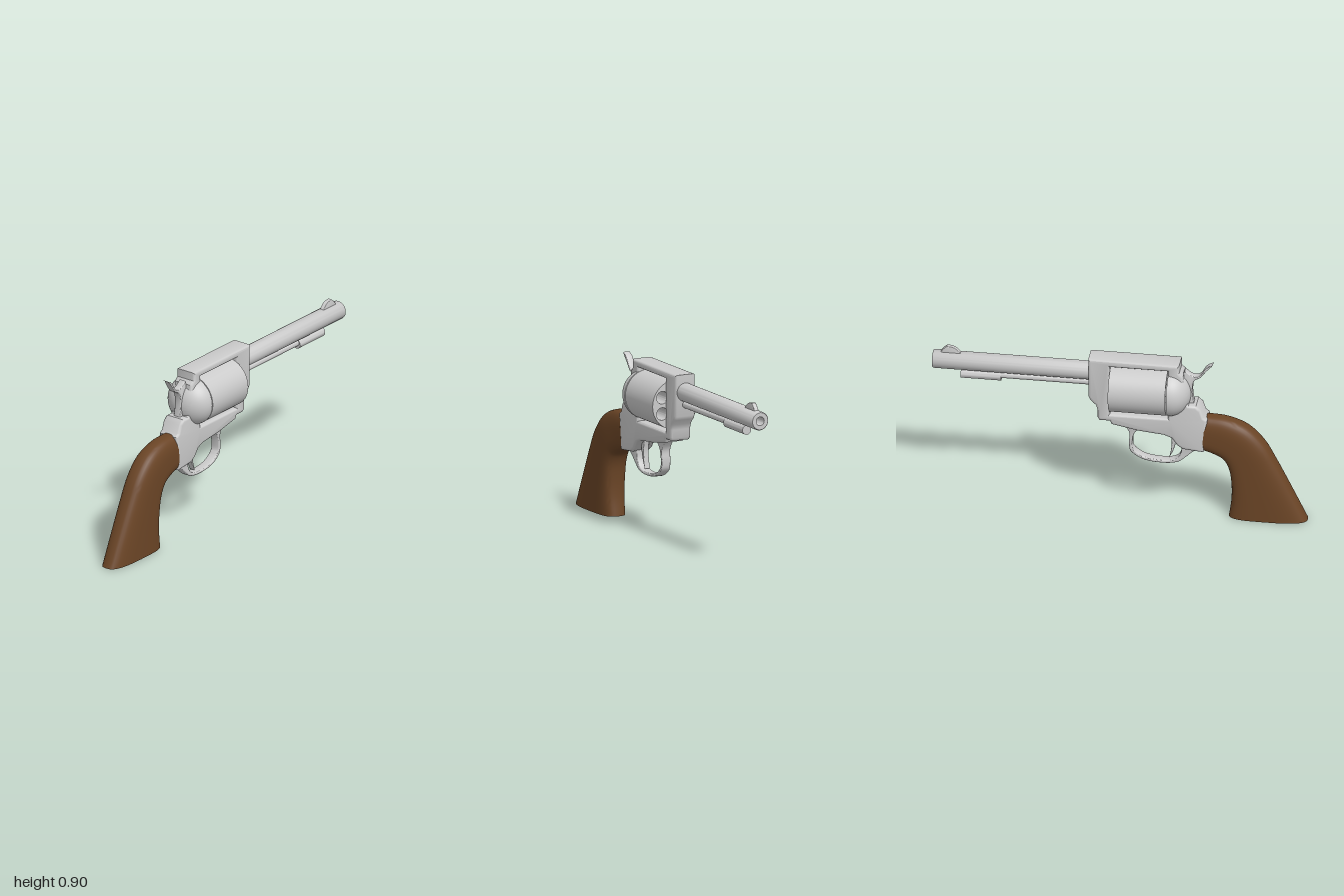
import * as THREE from 'three';
import { toCreasedNormals } from 'three/addons/utils/BufferGeometryUtils.js';

const steel = new THREE.MeshStandardMaterial({ color: 0xcccccc });
const wood = new THREE.MeshStandardMaterial({ color: 0x6b4526 });
const AXIS_Y = 0.722; // height of the cylinder axis

function part(group, name, geometry, material = steel, crease = 0.7) {
  const mesh = new THREE.Mesh(toCreasedNormals(geometry, crease), material);
  mesh.name = name;
  group.add(mesh);
  return mesh;
}

// side-profile points are [z, y]; shape x runs towards the muzzle
const toV2 = (pts) => pts.map(([z, y]) => new THREE.Vector2(-z, y));
const smooth = (pts, n) => new THREE.SplineCurve(toV2(pts)).getPoints(n);

// extrude a side profile across x, with rounded edges
function slab(points, halfWidth, bevel, holes = []) {
  const shape = new THREE.Shape(points);
  holes.forEach((h) => shape.holes.push(new THREE.Path(h)));
  const geo = new THREE.ExtrudeGeometry(shape, {
    depth: 2 * (halfWidth - bevel), bevelEnabled: bevel > 0, bevelThickness: bevel,
    bevelSize: bevel, bevelOffset: -bevel, bevelSegments: 3,
  });
  geo.translate(0, 0, bevel - halfWidth);
  return geo.rotateY(Math.PI / 2);
}

// turned part along z: points are [radius, z], from rear to muzzle
function turned(points, y, segments = 40) {
  const geo = new THREE.LatheGeometry(points.map(([r, z]) => new THREE.Vector2(r, -z)), segments);
  return geo.rotateX(-Math.PI / 2).translate(0, y, 0);
}

// lofted grip: rings between front and back edge points
function gripGeometry() {
  // front z, front y, back z, back y, half width
  const keys = [
    [0.44, 0.39, 0.46, 0.592, 0.06], [0.49, 0.375, 0.57, 0.583, 0.064], [0.55, 0.345, 0.68, 0.54, 0.069],
    [0.58, 0.29, 0.77, 0.45, 0.07], [0.594, 0.2, 0.838, 0.33, 0.07], [0.594, 0.1, 0.918, 0.17, 0.07],
    [0.58, 0, 1, 0, 0.07],
  ];
  const fronts = new THREE.CatmullRomCurve3(keys.map((k) => new THREE.Vector3(0, k[1], k[0])));
  const backs = new THREE.CatmullRomCurve3(keys.map((k) => new THREE.Vector3(0, k[3], k[2])));
  const widths = new THREE.CatmullRomCurve3(keys.map((k, i) => new THREE.Vector3(k[4], i, 0)));
  const rows = 30, cols = 40, pos = [], idx = [];
  const pow = (v, e) => Math.sign(v) * Math.abs(v) ** e;
  for (let i = 0; i <= rows; i++) {
    const f = fronts.getPoint(i / rows), b = backs.getPoint(i / rows), w = widths.getPoint(i / rows).x;
    for (let j = 0; j < cols; j++) {
      const a = (j / cols) * Math.PI * 2, c = Math.cos(a);
      const p = f.clone().lerp(b, 0.5 + 0.5 * pow(c, c > 0 ? 0.85 : 0.5));
      pos.push(w * pow(Math.sin(a), 0.65), p.y, p.z);
    }
  }
  for (let i = 0; i < rows; i++) {
    for (let j = 0; j < cols; j++) {
      const a = i * cols + j, b = i * cols + ((j + 1) % cols);
      idx.push(a, a + cols, b, b, a + cols, b + cols);
    }
  }
  // end caps
  const last = rows * cols;
  for (let j = 1; j < cols - 1; j++) {
    idx.push(0, j, j + 1);
    idx.push(last, last + j + 1, last + j);
  }
  const geo = new THREE.BufferGeometry();
  geo.setAttribute('position', new THREE.Float32BufferAttribute(pos, 3));
  geo.setIndex(idx);
  return geo;
}

export function createModel() {
  const model = new THREE.Group();
  model.name = 'revolver';

  // frame with the cylinder window
  const frame = toV2([
    [0.32, 0.905], [-0.165, 0.905], [-0.165, 0.68], [-0.155, 0.66], [-0.125, 0.63], [-0.115, 0.6],
    [-0.115, 0.555], [-0.105, 0.54], [-0.05, 0.54], [-0.04, 0.52], [0.1, 0.492], [0.24, 0.478], [0.28, 0.462],
    [0.31, 0.42], [0.34, 0.4], [0.45, 0.39], [0.47, 0.585], [0.45, 0.6], [0.435, 0.645], [0.41, 0.668],
    [0.37, 0.668], [0.35, 0.7], [0.34, 0.84], [0.32, 0.86],
  ]);
  const windowHole = toV2([[0.26, 0.58], [-0.05, 0.58], [-0.05, 0.868], [0.26, 0.868]]);
  part(model, 'frame', slab(frame, 0.06, 0.014, [windowHole]));

  // domed recoil shield behind the cylinder
  const dome = [];
  for (let i = 0; i <= 14; i++) {
    const a = (i / 14) * Math.PI / 2;
    dome.push([0.135 * Math.sin(a), 0.262 + 0.118 * Math.cos(a)]);
  }
  dome.push([0, 0.262]);
  part(model, 'recoilShield', turned(dome, AXIS_Y, 48));

  // cylinder with six chambers
  const disc = new THREE.Shape().absarc(0, 0, 0.134, 0, Math.PI * 2);
  for (let i = 0; i < 6; i++) {
    const a = (i / 6) * Math.PI * 2 + Math.PI / 6;
    disc.holes.push(new THREE.Path().absarc(0.088 * Math.cos(a), 0.088 * Math.sin(a), 0.034, 0, Math.PI * 2));
  }
  const drum = new THREE.ExtrudeGeometry(disc, { depth: 0.305, bevelEnabled: false, curveSegments: 32 });
  part(model, 'cylinder', drum.translate(0, AXIS_Y, -0.049));

  // barrel with open bore
  part(model, 'barrel', turned([
    [0, -0.15], [0.05, -0.15], [0.05, -0.995], [0.046, -1], [0.024, -1], [0.022, -0.99], [0.022, -0.8], [0, -0.8],
  ], 0.81));

  // ejector rod and its thicker end
  part(model, 'ejectorRod', turned([[0, -0.15], [0.018, -0.15], [0.018, -0.66], [0, -0.66]], 0.742, 20));
  part(model, 'ejectorHead', turned([[0, -0.635], [0.026, -0.635], [0.026, -0.85], [0, -0.85]], 0.735, 24));

  // front sight blade
  part(model, 'frontSight', slab([
    ...smooth([[-0.84, 0.845], [-0.865, 0.872], [-0.89, 0.89], [-0.925, 0.895]], 10),
    ...smooth([[-0.935, 0.887], [-0.955, 0.865], [-0.96, 0.845]], 5),
  ], 0.013, 0.003));

  // hammer with curved spur
  part(model, 'hammer', slab([
    ...smooth([[0.495, 0.905], [0.46, 0.885], [0.425, 0.835], [0.385, 0.83], [0.345, 0.86]], 16),
    ...toV2([[0.32, 0.8], [0.32, 0.66]]),
    ...smooth([[0.395, 0.66], [0.385, 0.74], [0.395, 0.8], [0.425, 0.82], [0.45, 0.85], [0.475, 0.893]], 16),
  ], 0.02, 0.004));

  // trigger guard bow, outer edge then inner edge
  part(model, 'triggerGuard', slab([
    ...smooth([[0.45, 0.395], [0.4, 0.38], [0.35, 0.335], [0.305, 0.302], [0.23, 0.291], [0.13, 0.302],
      [0.06, 0.345], [0.048, 0.4], [0.05, 0.46], [0.015, 0.515]], 40),
    ...smooth([[0.12, 0.505], [0.078, 0.46], [0.065, 0.4], [0.075, 0.355], [0.135, 0.317], [0.23, 0.306],
      [0.295, 0.319], [0.325, 0.36], [0.33, 0.42]], 36),
  ], 0.026, 0.005));

  // trigger
  part(model, 'trigger', slab([
    ...smooth([[0.305, 0.49], [0.3, 0.43], [0.285, 0.37], [0.26, 0.318]], 12),
    ...smooth([[0.27, 0.36], [0.275, 0.42], [0.262, 0.49]], 10),
  ], 0.016, 0.003));

  part(model, 'grip', gripGeometry(), wood, 0.9);
  return model;
}
